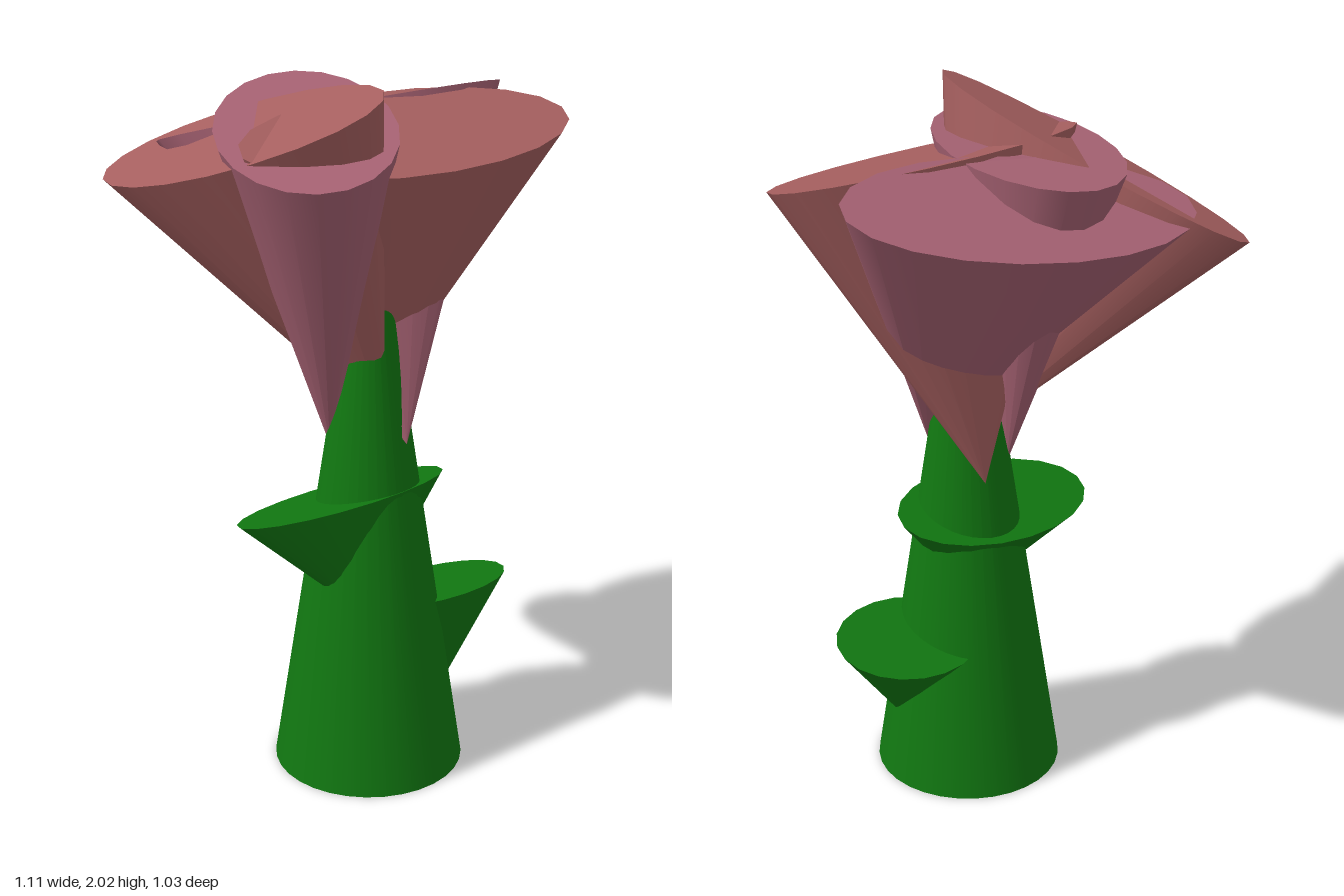
import * as THREE from 'three';

const GREEN = new THREE.MeshStandardMaterial({ color: 0x117711 });
const RED = new THREE.MeshStandardMaterial({ color: 0xa55f5f });
const MAUVE = new THREE.MeshStandardMaterial({ color: 0xa56172 });

// Inverted elliptical cone with a tilted flat top.
// u and v are [x, z] radius vectors of the rim seen from above;
// slope [sx, sz] is how fast the top rises along x and z.
function tiltedCone(name, material, { apex, center, u, v, slope }) {
  const lift = ([x, z]) => new THREE.Vector3(x, x * slope[0] + z * slope[1], z);
  const c = new THREE.Vector3(...center);
  const axis = c.clone().sub(new THREE.Vector3(...apex));
  const matrix = new THREE.Matrix4().makeBasis(lift(u), axis, lift(v)).setPosition(c);
  const geometry = new THREE.CylinderGeometry(1, 0, 1, 20);
  geometry.translate(0, -0.5, 0);
  geometry.applyMatrix4(matrix);
  const mesh = new THREE.Mesh(geometry, material);
  mesh.name = name;
  return mesh;
}

export function createModel() {
  const group = new THREE.Group();
  group.name = 'flower';

  // Stem: a tall cone whose tip is hidden among the petals
  const stem = new THREE.Mesh(new THREE.ConeGeometry(0.27, 1.79, 32), GREEN);
  stem.name = 'stem';
  stem.position.set(-0.005, 0.895, 0.1);
  group.add(stem);

  // Leaves
  group.add(tiltedCone('lowerLeaf', GREEN, {
    apex: [0.21, 0.19, 0.16], center: [0.22, 0.475, 0.09],
    u: [0.225, 0], v: [0, 0.17], slope: [0.05, 0.235],
  }));
  group.add(tiltedCone('upperLeaf', GREEN, {
    apex: [-0.067, 0.49, 0.17], center: [-0.085, 0.82, 0.082],
    u: [0.32, 0], v: [0, 0.168], slope: [0.06, 0.28],
  }));

  // Petals
  group.add(tiltedCone('frontPetal', RED, {
    apex: [0.05, 0.97, -0.05], center: [0.065, 1.863, 0.178],
    u: [0.495, 0], v: [0, 0.2175], slope: [0, -0.25],
  }));
  group.add(tiltedCone('backPetal', MAUVE, {
    apex: [0.04, 1.0, 0.22], center: [0.072, 1.83, -0.23],
    u: [0.4725, 0.11], v: [0, 0.219], slope: [0, 0.37],
  }));
  group.add(tiltedCone('sidePetal', RED, {
    apex: [0.04, 1.02, 0.11], center: [-0.317, 1.85, -0.055],
    u: [0.213, 0], v: [0.11, 0.46], slope: [0.453, 0.204],
  }));
  group.add(tiltedCone('middlePetal', MAUVE, {
    apex: [-0.09, 0.96, 0.03], center: [-0.175, 1.878, 0.0525],
    u: [0.257, 0], v: [-0.155, 0.4625], slope: [0.09, -0.03],
  }));

  return group;
}
